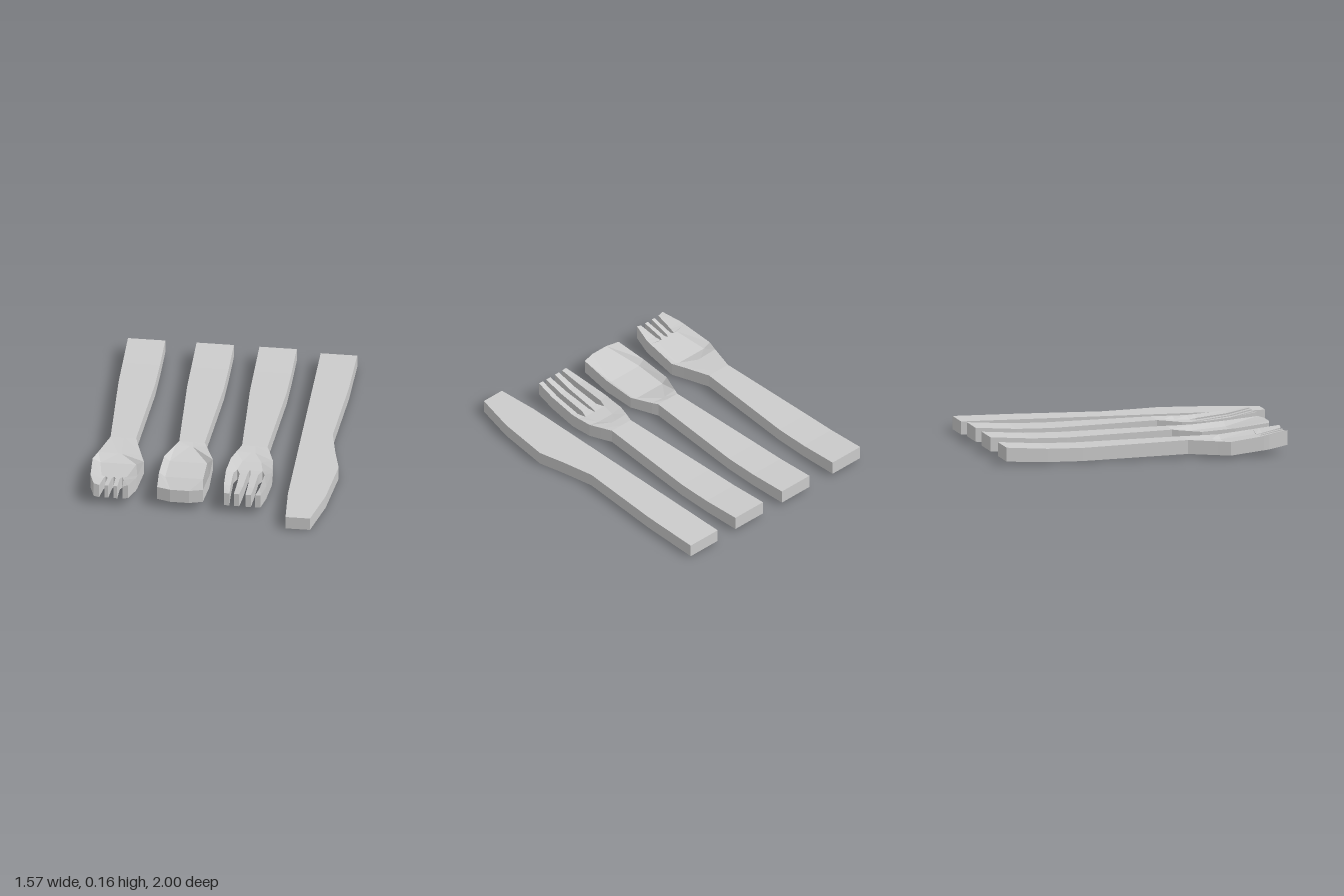
import * as THREE from 'three';

const material = new THREE.MeshStandardMaterial({ color: 0xcccccc, flatShading: true });

// Lofts sections along z; each section is a list of columns [x, top, bottom, z]
function loft(sections) {
  const pos = [];
  const top = (s, k) => [s[k][0], s[k][1], s[k][3]];
  const bot = (s, k) => [s[k][0], s[k][2], s[k][3]];
  const quad = (a, b, c, d) => pos.push(...a, ...b, ...c, ...a, ...c, ...d);
  const n = sections[0].length;
  for (let i = 0; i < sections.length - 1; i++) {
    const s = sections[i], t = sections[i + 1];
    for (let k = 0; k < n - 1; k++) {
      quad(top(s, k), top(t, k), top(t, k + 1), top(s, k + 1));
      quad(bot(s, k + 1), bot(t, k + 1), bot(t, k), bot(s, k));
    }
    quad(bot(s, 0), bot(t, 0), top(t, 0), top(s, 0));
    quad(top(s, n - 1), top(t, n - 1), bot(t, n - 1), bot(s, n - 1));
  }
  const first = sections[0], last = sections[sections.length - 1];
  for (let k = 0; k < n - 1; k++) {
    quad(top(last, k), bot(last, k), bot(last, k + 1), top(last, k + 1));
    quad(top(first, k + 1), bot(first, k + 1), bot(first, k), top(first, k));
  }
  const geometry = new THREE.BufferGeometry();
  geometry.setAttribute('position', new THREE.Float32BufferAttribute(pos, 3));
  geometry.computeVertexNormals();
  return geometry;
}

function addMesh(parent, name, geometry) {
  const mesh = new THREE.Mesh(geometry, material);
  mesh.name = name;
  parent.add(mesh);
}

// Symmetric section: rim half width, inner half width, rim and inner heights
function section([z, rim, inner, rimTop, innerTop, rimBot, innerBot, innerZ = z]) {
  return [
    [-rim, rimTop, rimBot, z], [-inner, innerTop, innerBot, innerZ],
    [inner, innerTop, innerBot, innerZ], [rim, rimTop, rimBot, z],
  ];
}

// Gently bowed handle shared by forks and spoon
const handle = [
  [-1, 0.12, 0.005, 0.11, 0.11, 0.02, 0.02],
  [-0.73, 0.12, 0.005, 0.093, 0.093, 0.007, 0.007],
  [-0.5, 0.118, 0.005, 0.09, 0.09, 0.005, 0.005],
  [0.2, 0.082, 0.005, 0.11, 0.11, 0.02, 0.02],
];

function utensil(name, x, headName, head) {
  const group = new THREE.Group();
  group.name = name;
  group.position.x = x;
  addMesh(group, 'handle', loft(handle.map(section)));
  addMesh(group, headName, loft([handle[3], ...head].map(section)));
  return group;
}

// Tine rows: [z, x0, x1, top0, top1, bottom0, bottom1], mirrored to both sides
function addTines(group, name, rows) {
  for (const side of [1, -1]) {
    const sections = rows.map(([z, x0, x1, t0, t1, b0, b1]) => {
      const cols = [[side * x0, t0, b0, z], [side * x1, t1, b1, z]];
      return side > 0 ? cols : cols.reverse();
    });
    addMesh(group, name, loft(sections));
  }
}

// Wide fork with a cupped head and short tines
function wideFork() {
  const fork = utensil('wideFork', -0.622, 'forkHead', [
    [0.38, 0.138, 0.012, 0.103, 0.098, 0.014, 0.007],
    [0.46, 0.165, 0.115, 0.1, 0.075, 0.012, 0.005],
    [0.68, 0.15, 0.08, 0.128, 0.108, 0.036, 0.028],
  ]);
  addTines(fork, 'innerTine', [
    [0.68, 0.004, 0.05, 0.108, 0.108, 0.028, 0.028],
    [0.7, 0.011, 0.04, 0.111, 0.111, 0.03, 0.03],
    [0.845, 0.017, 0.041, 0.142, 0.142, 0.052, 0.052],
  ]);
  addTines(fork, 'outerTine', [
    [0.68, 0.056, 0.15, 0.108, 0.128, 0.028, 0.036],
    [0.72, 0.065, 0.145, 0.114, 0.134, 0.033, 0.04],
    [0.845, 0.075, 0.111, 0.143, 0.155, 0.052, 0.06],
  ]);
  return fork;
}

// Narrow fork with long tines
function longFork() {
  const fork = utensil('longFork', 0.223, 'forkHead', [
    [0.27, 0.108, 0.012, 0.106, 0.102, 0.016, 0.012],
    [0.35, 0.136, 0.06, 0.1, 0.085, 0.012, 0.006],
    [0.45, 0.144, 0.082, 0.1, 0.08, 0.011, 0.005],
  ]);
  addTines(fork, 'innerTine', [
    [0.45, 0.003, 0.08, 0.08, 0.08, 0.005, 0.005],
    [0.5, 0.01, 0.06, 0.083, 0.083, 0.007, 0.007],
    [0.7, 0.015, 0.057, 0.108, 0.108, 0.025, 0.025],
    [0.845, 0.02, 0.055, 0.142, 0.142, 0.052, 0.052],
  ]);
  addTines(fork, 'outerTine', [
    [0.45, 0.082, 0.144, 0.08, 0.1, 0.005, 0.011],
    [0.5, 0.1, 0.148, 0.085, 0.103, 0.008, 0.013],
    [0.7, 0.094, 0.136, 0.11, 0.122, 0.027, 0.032],
    [0.845, 0.083, 0.118, 0.142, 0.145, 0.052, 0.055],
  ]);
  return fork;
}

// Spoon with a shallow faceted bowl and a blunt tip
function spoon() {
  return utensil('spoon', -0.181, 'spoonBowl', [
    [0.24, 0.1, 0.01, 0.107, 0.1, 0.021, 0.014],
    [0.38, 0.157, 0.12, 0.1, 0.068, 0.022, 0],
    [0.6, 0.162, 0.122, 0.116, 0.085, 0.027, 0.001],
    [0.82, 0.147, 0.06, 0.141, 0.14, 0.052, 0.05, 0.842],
  ]);
}

// Flat knife cut from a single outline
function knife() {
  const outline = [
    [0.497, -1], [0.732, -1], [0.728, -0.6], [0.696, -0.03], [0.738, 0.18], [0.782, 0.36],
    [0.743, 0.72], [0.677, 1], [0.52, 1], [0.5, 0.72],
  ].map(([x, z]) => new THREE.Vector2(x, -z));
  const geometry = new THREE.ExtrudeGeometry(new THREE.Shape(outline), { depth: 0.085, bevelEnabled: false });
  geometry.rotateX(-Math.PI / 2);
  geometry.translate(0, 0.006, 0);
  const group = new THREE.Group();
  group.name = 'knife';
  addMesh(group, 'knifeBody', geometry);
  return group;
}

export function createModel() {
  const model = new THREE.Group();
  model.name = 'cutlerySet';
  model.add(wideFork(), spoon(), longFork(), knife());
  return model;
}
